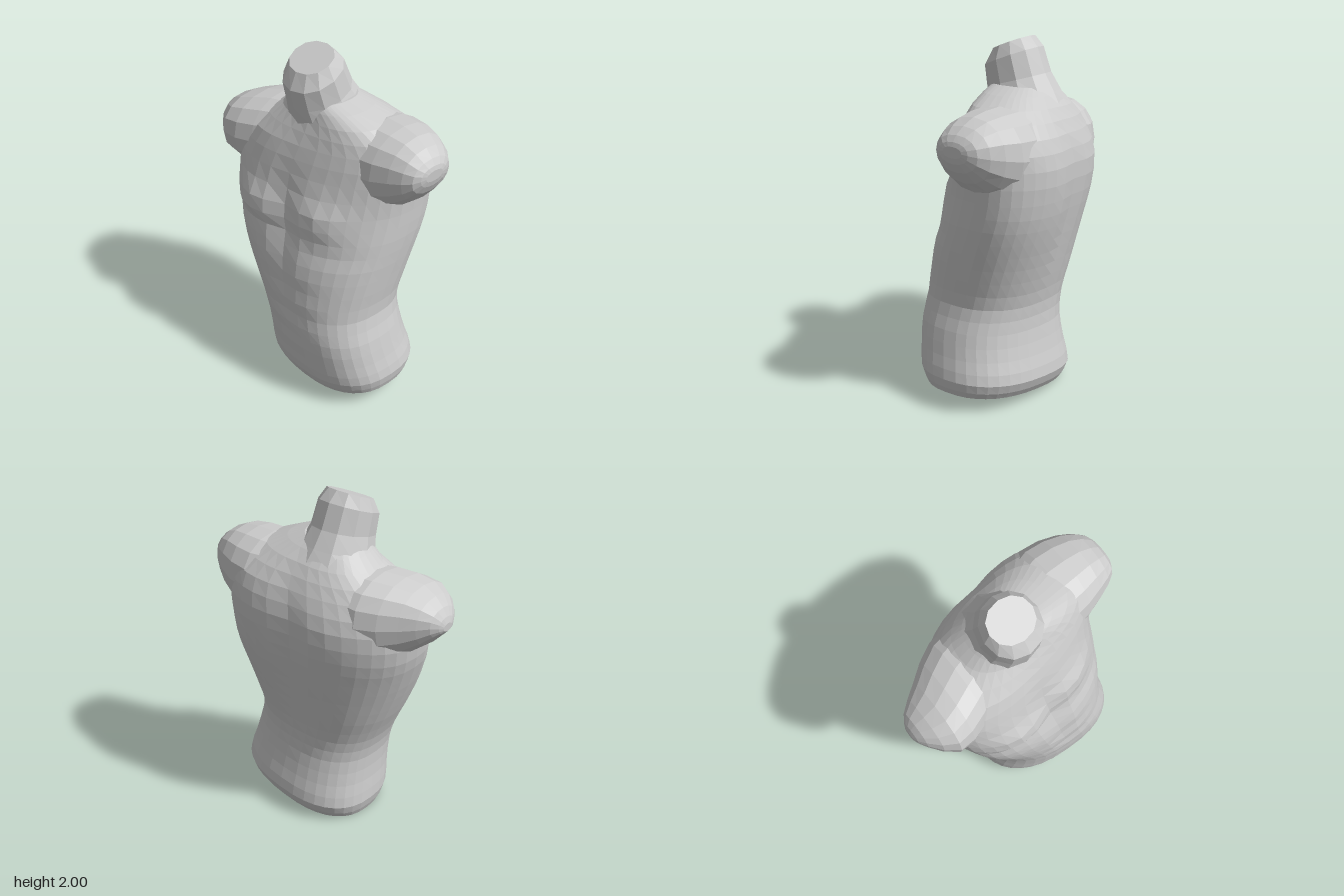
import * as THREE from 'three';

const { smoothstep } = THREE.MathUtils;
const material = new THREE.MeshStandardMaterial({ color: 0xcccccc, flatShading: true });

// Skin a list of closed rings (arrays of Vector3) and cap both ends.
function loft(name, rings) {
  const n = rings[0].length, pos = [], idx = [];
  rings.forEach(r => r.forEach(p => pos.push(p.x, p.y, p.z)));
  for (let i = 0; i < rings.length - 1; i++) {
    for (let j = 0; j < n; j++) {
      const k = (j + 1) % n, a = i * n, b = a + n;
      idx.push(a + j, a + k, b + j, a + k, b + k, b + j);
    }
  }
  const cap = (r, start, flip) => {
    const c = r.reduce((s, p) => s.add(p), new THREE.Vector3()).divideScalar(n);
    const ci = pos.length / 3;
    pos.push(c.x, c.y, c.z);
    for (let j = 0; j < n; j++) {
      const k = (j + 1) % n;
      idx.push(ci, start + (flip ? k : j), start + (flip ? j : k));
    }
  };
  cap(rings[0], 0, true);
  cap(rings[rings.length - 1], (rings.length - 1) * n, false);
  const geo = new THREE.BufferGeometry();
  geo.setAttribute('position', new THREE.Float32BufferAttribute(pos, 3));
  geo.setIndex(idx);
  geo.computeVertexNormals();
  const mesh = new THREE.Mesh(geo, material);
  mesh.name = name;
  return mesh;
}

// n points round a ring; fn gets the squared-off cosine and sine.
function ring(n, power, fn) {
  const soft = v => Math.sign(v) * Math.pow(Math.abs(v), power);
  return Array.from({ length: n }, (_, j) => {
    const t = (j / n) * Math.PI * 2;
    return fn(soft(Math.cos(t)), soft(Math.sin(t)));
  });
}

// Insert a smooth in-between row after every row but the last.
function refine(rows) {
  const at = i => rows[Math.min(rows.length - 1, Math.max(0, i))];
  return rows.flatMap((row, i) => i === rows.length - 1 ? [row] : [row,
    row.map((v, k) => (9 * (v + at(i + 1)[k]) - at(i - 1)[k] - at(i + 2)[k]) / 16)]);
}

const bell = (x, y, cx, cy, w, h) => Math.exp(-(((x - cx) / w) ** 2) - ((y - cy) / h) ** 2);

// Chest, fold under the chest, midline and belly rows
function frontRelief(x, y) {
  const chest = 0.05 * (bell(x, y, -0.2, 1.14, 0.17, 0.1) + bell(x, y, 0.24, 1.18, 0.17, 0.1));
  const under = -0.02 * bell(x, y, 0.03, 1.0, 0.4, 0.04);
  const midline = -0.02 * bell(x, y, 0.03 + 0.13 * (1 - y), 1.0, 0.05, 0.4);
  const belly = 0.006 * Math.cos(y * 38) * bell(x, y, 0.1, 0.65, 0.2, 0.25);
  return chest + under + midline + belly;
}

// Spine hollow and shoulder blades
function backRelief(x, y) {
  return 0.02 * bell(x, y, 0.04, 1.15, 0.06, 0.4)
    - 0.012 * (bell(x, y, -0.2, 1.35, 0.15, 0.18) + bell(x, y, 0.27, 1.38, 0.15, 0.18));
}

// Trunk rows: height, right x, left x, back z, front z
const trunkRows = [
  [0.05, -0.235, 0.6, -0.27, 0.33],
  [0.14, -0.265, 0.62, -0.315, 0.375],
  [0.27, -0.252, 0.59, -0.285, 0.395],
  [0.42, -0.25, 0.555, -0.255, 0.41],
  [0.56, -0.285, 0.515, -0.255, 0.41],
  [0.72, -0.355, 0.525, -0.29, 0.405],
  [0.88, -0.42, 0.54, -0.328, 0.39],
  [1.03, -0.475, 0.55, -0.362, 0.355],
  [1.18, -0.52, 0.55, -0.385, 0.31],
  [1.36, -0.53, 0.55, -0.39, 0.275],
  [1.52, -0.46, 0.53, -0.355, 0.22],
  [1.65, -0.29, 0.37, -0.275, 0.16],
  [1.74, -0.19, 0.15, -0.17, 0.13],
];

// The hips tilt and the chest turns against them.
function trunk() {
  return loft('torso', refine(trunkRows).map(([y, xr, xl, zb, zf]) => {
    const slope = Math.max(0.075, 0.125 - 0.12 * y);
    const twist = 0.05 - 0.22 * smoothstep(y, 0.3, 1.15) + 0.17 * smoothstep(y, 1.5, 1.74);
    return ring(36, 0.82, (c, s) => {
      const dx = c * (xl - xr) / 2, x = (xl + xr) / 2 + dx, h = y + slope * dx;
      const relief = s < 0 ? frontRelief(x, h) : backRelief(x, h);
      const z = (zb + zf) / 2 - s * (zf - zb) / 2 + twist * dx + relief * Math.min(1, Math.abs(s) * 1.5);
      return new THREE.Vector3(x, h, z);
    });
  }));
}

// Shoulder rows, from inside the chest outward: x, bottom y, top y, back z, front z
const leftShoulderRows = [
  [0.1, 1.3, 1.66, -0.28, 0.08],
  [0.34, 1.2, 1.69, -0.385, 0.13],
  [0.55, 1.28, 1.675, -0.335, 0.08],
  [0.67, 1.41, 1.605, -0.25, 0.02],
  [0.7, 1.49, 1.55, -0.17, -0.05],
];
const rightShoulderRows = [
  [-0.1, 1.25, 1.62, -0.28, 0.12],
  [-0.34, 1.15, 1.62, -0.27, 0.25],
  [-0.53, 1.2, 1.57, -0.145, 0.295],
  [-0.66, 1.32, 1.485, -0.04, 0.18],
  [-0.7, 1.365, 1.41, 0.03, 0.1],
];

function shoulder(name, side, rows) {
  return loft(name, refine(rows).map(([x, y0, y1, z0, z1]) =>
    ring(16, 0.9, (c, s) => new THREE.Vector3(
      x, (y0 + y1) / 2 + c * (y1 - y0) / 2, (z0 + z1) / 2 + side * s * (z1 - z0) / 2))));
}

// Neck rows: front z, front y, back z, back y, centre x, half width
const neckRows = [
  [0.15, 1.52, -0.27, 1.64, -0.01, 0.25],
  [0.175, 1.61, -0.215, 1.72, -0.025, 0.2],
  [0.195, 1.71, -0.155, 1.81, -0.03, 0.17],
  [0.215, 1.82, -0.1, 1.945, -0.035, 0.163],
  [0.17, 1.91, -0.045, 2.0, -0.04, 0.13],
];

function neck() {
  return loft('neck', neckRows.map(([zf, yf, zb, yb, cx, w]) =>
    ring(12, 0.95, (c, s) => new THREE.Vector3(
      cx - c * w, (yf + yb) / 2 - s * (yb - yf) / 2, (zf + zb) / 2 + s * (zf - zb) / 2))));
}

export function createModel() {
  const group = new THREE.Group();
  group.name = 'torsoSculpture';
  group.add(
    trunk(),
    neck(),
    shoulder('leftShoulder', 1, leftShoulderRows),
    shoulder('rightShoulder', -1, rightShoulderRows),
  );
  return group;
}
